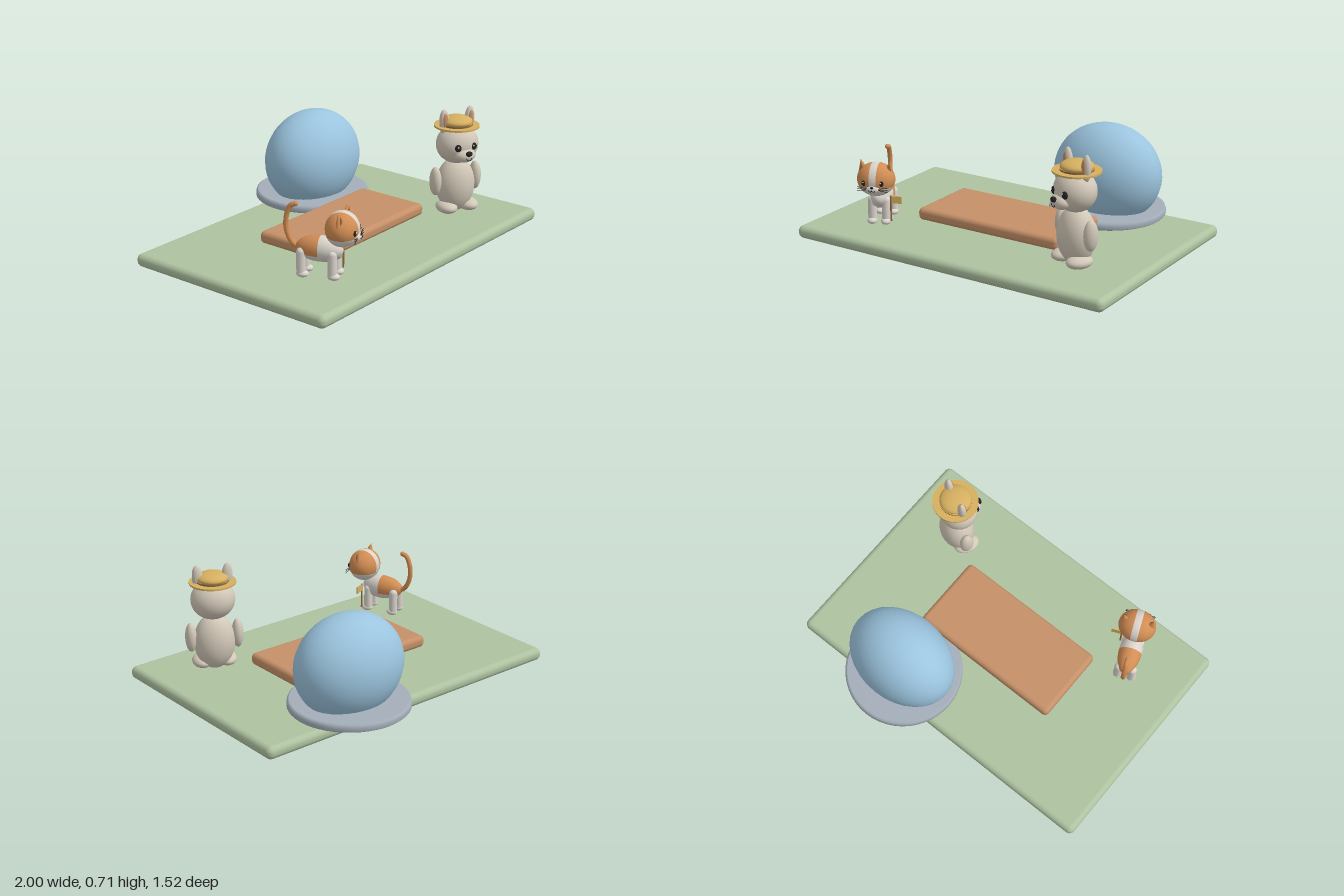
import * as THREE from 'three';
import { RoundedBoxGeometry } from 'three/addons/geometries/RoundedBoxGeometry.js';

const mat = (name, color) => {
  const m = new THREE.MeshStandardMaterial({ color });
  m.name = name;
  return m;
};

export function createModel() {
  const green = mat('lawn green', 0xaec2a0);
  const wood = mat('warm wood', 0xc59068);
  const grey = mat('stone grey', 0xa4aeb9);
  const blue = mat('dome blue', 0x9bc4de);
  const fur = mat('beige fur', 0xd2c8b8);
  const straw = mat('straw yellow', 0xd6b060);
  const black = mat('black', 0x222326);
  const orange = mat('orange fur', 0xd28d54);
  const white = mat('white fur', 0xdad4cc);
  const brown = mat('brown', 0x946840);

  const model = new THREE.Group();
  const add = (parent, name, geo, material, pos = [0, 0, 0], rot = [0, 0, 0]) => {
    const m = new THREE.Mesh(geo, material);
    m.name = name;
    m.position.set(...pos);
    m.rotation.set(...rot);
    parent.add(m);
    return m;
  };
  // Ellipsoid, optionally only a band of it between two polar angles (in units of pi)
  const ball = (parent, name, material, pos, r, from = 0, to = 1, axis = 'y') => {
    const g = new THREE.SphereGeometry(1, 32, 20, 0, Math.PI * 2, from * Math.PI, (to - from) * Math.PI);
    if (axis === 'x') g.rotateZ(-Math.PI / 2);
    if (axis === 'z') g.rotateX(Math.PI / 2);
    g.scale(...r);
    return add(parent, name, g, material, pos);
  };
  const group = (name, x, z, yaw) => {
    const g = new THREE.Group();
    g.name = name;
    g.position.set(x, 0, z);
    g.rotation.y = yaw;
    model.add(g);
    return g;
  };

  // Ground, deck and dome
  add(model, 'lawn', new RoundedBoxGeometry(2, 0.075, 1.33, 4, 0.034), green, [0, 0.0375, 0.095]);
  add(model, 'deck', new RoundedBoxGeometry(0.935, 0.072, 0.455, 4, 0.028), wood, [-0.002, 0.12, 0.096]);
  const slab = [[0, 0.075], [0.335, 0.075], [0.34, 0.08], [0.34, 0.1], [0.336, 0.113], [0.325, 0.12], [0, 0.12]];
  add(model, 'domeBase', new THREE.LatheGeometry(slab.map(p => new THREE.Vector2(...p)), 48), grey, [0.35, 0, -0.424]);
  ball(model, 'dome', blue, [0.35, 0.312, -0.422], [0.33, 0.293, 0.248], 0, 0.78);

  // Standing animal with a straw hat
  const dog = group('standingAnimal', 0.642, 0.415, -0.43);
  ball(dog, 'body', fur, [0, 0.25, 0], [0.117, 0.162, 0.1]);
  ball(dog, 'head', fur, [0, 0.5, 0.01], [0.126, 0.115, 0.113]);
  ball(dog, 'muzzle', fur, [0, 0.455, 0.1], [0.064, 0.042, 0.05]);
  ball(dog, 'nose', black, [0, 0.474, 0.146], [0.021, 0.016, 0.014]);
  add(dog, 'mouth', new THREE.TorusGeometry(0.016, 0.002, 6, 16, Math.PI), black, [0, 0.45, 0.148], [0, 0, Math.PI]);
  for (const s of [-1, 1]) {
    ball(dog, 'eye', black, [s * 0.05, 0.504, 0.108], [0.021, 0.022, 0.014]);
    ball(dog, 'eyeGlint', white, [s * 0.05 - 0.005, 0.511, 0.12], [0.005, 0.005, 0.004]);
    ball(dog, 'ear', fur, [s * 0.083, 0.635, 0], [0.031, 0.078, 0.024]).rotation.z = -s * 0.06;
    ball(dog, 'innerEar', wood, [s * 0.083, 0.637, 0.016], [0.018, 0.055, 0.012]).rotation.z = -s * 0.06;
    ball(dog, 'arm', fur, [s * 0.133, 0.285, 0], [0.033, 0.086, 0.042]);
    ball(dog, 'foot', fur, [s * 0.07, 0.126, 0.026], [0.058, 0.036, 0.078]);
  }
  add(dog, 'hatBrim', new THREE.CylinderGeometry(0.132, 0.132, 0.01, 40), straw, [0, 0.607, 0]);
  add(dog, 'hatBand', new THREE.CylinderGeometry(0.092, 0.092, 0.01, 40, 1, true), brown, [0, 0.616, 0]);
  ball(dog, 'hatCrown', straw, [0, 0.632, 0], [0.091, 0.034, 0.091]);

  // Walking cat with patches
  const cat = group('cat', -0.63, 0.43, 0.4);
  ball(cat, 'chest', white, [0, 0.25, 0.01], [0.066, 0.07, 0.125], 0, 0.5, 'z');
  ball(cat, 'rump', orange, [0, 0.25, 0.01], [0.066, 0.07, 0.135], 0.5, 1, 'z');
  ball(cat, 'belly', white, [0, 0.25, 0.01], [0.067, 0.071, 0.136], 0.62, 1);
  for (const s of [-1, 1]) {
    for (const z of [0.085, -0.085]) {
      add(cat, 'leg', new THREE.CapsuleGeometry(0.025, 0.11, 6, 16), white, [s * 0.04, 0.18, z]);
      ball(cat, 'paw', white, [s * 0.04, 0.114, z + 0.008], [0.028, 0.02, 0.034]);
    }
  }
  const tailPoints = [[0.235, -0.09], [0.27, -0.145], [0.34, -0.176], [0.42, -0.174], [0.475, -0.15], [0.485, -0.125]];
  const tail = new THREE.CatmullRomCurve3(tailPoints.map(([y, z]) => new THREE.Vector3(0, y, z)));
  add(cat, 'tail', new THREE.TubeGeometry(tail, 32, 0.014, 12), orange);
  ball(cat, 'tailTip', orange, [0, 0.485, -0.125], [0.014, 0.014, 0.014]);

  // Cat head: orange sides, white blaze, white lower face
  const head = new THREE.Group();
  head.name = 'catHead';
  head.position.set(0, 0.375, 0.13);
  cat.add(head);
  const r = [0.108, 0.096, 0.092];
  ball(head, 'leftPatch', orange, [0, 0, 0], r, 0, 0.44, 'x');
  ball(head, 'blaze', white, [0, 0, 0], r, 0.44, 0.56, 'x');
  ball(head, 'rightPatch', orange, [0, 0, 0], r, 0.56, 1, 'x');
  ball(head, 'lowerFace', white, [0, 0, 0], r.map(v => v * 1.012), 0.62, 1);
  ball(head, 'muzzle', white, [0, -0.037, 0.075], [0.04, 0.024, 0.028]);
  ball(head, 'nose', black, [0, -0.022, 0.101], [0.01, 0.007, 0.006]);
  for (const s of [-1, 1]) {
    ball(head, 'eye', black, [s * 0.05, -0.003, 0.079], [0.013, 0.016, 0.009]);
    ball(head, 'eyeGlint', white, [s * 0.05 - 0.003, 0.003, 0.087], [0.004, 0.004, 0.003]);
    add(head, 'ear', new THREE.ConeGeometry(0.036, 0.08, 20), orange, [s * 0.077, 0.072, 0], [0, 0, -s * 0.22]).scale.z = 0.6;
    add(head, 'innerEar', new THREE.ConeGeometry(0.022, 0.055, 20), brown, [s * 0.077, 0.068, 0.012], [0, 0, -s * 0.22]).scale.z = 0.6;
    add(head, 'mouth', new THREE.TorusGeometry(0.009, 0.0018, 6, 12, Math.PI), black, [s * 0.009, -0.036, 0.102], [0, 0, Math.PI]);
    for (const k of [-1, 0, 1]) {
      add(head, 'whisker', new THREE.CylinderGeometry(0.0015, 0.0015, 0.055, 6), black,
        [s * 0.06, -0.035 + k * 0.008, 0.088], [0, 0, Math.PI / 2 + s * k * 0.16]);
    }
  }

  // Small flag beside the cat
  add(cat, 'flagPole', new THREE.CylinderGeometry(0.005, 0.005, 0.15, 10), brown, [0.076, 0.198, 0.113]);
  add(cat, 'flag', new THREE.BoxGeometry(0.062, 0.042, 0.006), straw, [0.107, 0.25, 0.113]);

  return model;
}
